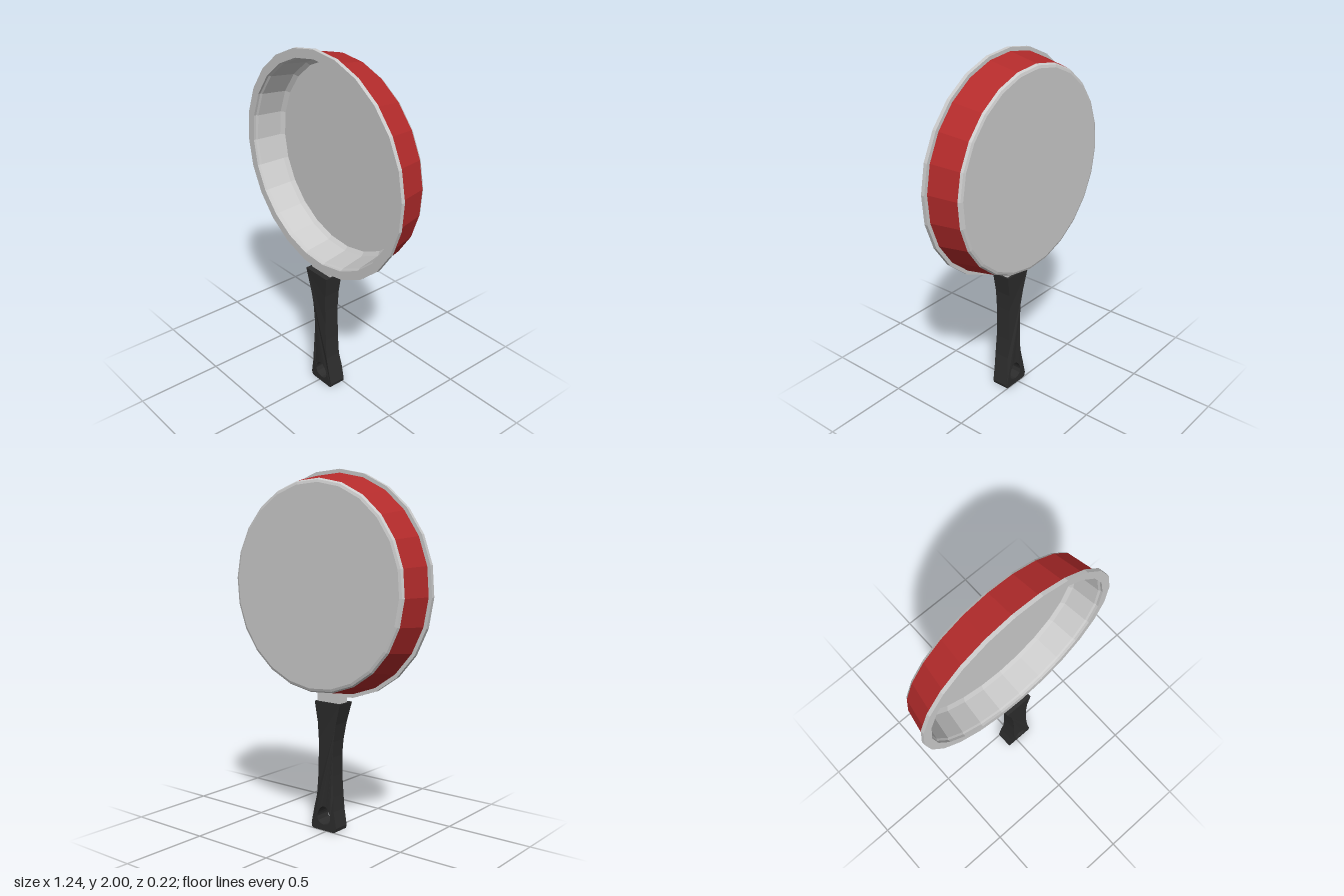
import * as THREE from 'three';

const SIDES = 24;
const PAN_Y = 1.38;

function material(color, side = THREE.FrontSide) {
  return new THREE.MeshStandardMaterial({ color, flatShading: true, side });
}

// Faceted ring turned about the z axis; profile points are [radius, z].
function turned(name, profile, mat) {
  const geo = new THREE.LatheGeometry(profile.map(([r, z]) => new THREE.Vector2(r, z)), SIDES);
  geo.rotateX(Math.PI / 2).rotateZ(THREE.MathUtils.degToRad(3));
  const mesh = new THREE.Mesh(geo, mat);
  mesh.name = name;
  mesh.position.y = PAN_Y;
  return mesh;
}

// Piecewise-linear lookup in [y, value] pairs.
function lookup(table, y) {
  for (let i = 1; i < table.length; i++) {
    const [y0, a] = table[i - 1], [y1, b] = table[i];
    if (y <= y1) return a + (b - a) * Math.max(0, (y - y0) / (y1 - y0));
  }
  return table[table.length - 1][1];
}

function createHandle(mat) {
  // Rows of [y, left edge x, right edge x]
  const rows = [
    [0, -0.052, 0.092], [0.008, -0.065, 0.104], [0.028, -0.069, 0.108],
    [0.12, -0.05, 0.09], [0.2, -0.04, 0.077], [0.32, -0.033, 0.067],
    [0.43, -0.034, 0.064], [0.52, -0.041, 0.063], [0.62, -0.06, 0.066], [0.74, -0.093, 0.083],
  ];
  const outline = [
    ...rows.map(([y, , r]) => new THREE.Vector2(r, y)),
    ...rows.map(([y, l]) => new THREE.Vector2(l, y)).reverse(),
  ];
  const shape = new THREE.Shape(outline);

  // Teardrop hanging hole
  const hole = new THREE.Path();
  hole.moveTo(0.021, 0.14);
  hole.bezierCurveTo(-0.005, 0.14, -0.026, 0.095, -0.026, 0.075);
  hole.bezierCurveTo(-0.026, 0.02, 0.068, 0.02, 0.068, 0.075);
  hole.bezierCurveTo(0.068, 0.095, 0.047, 0.14, 0.021, 0.14);
  shape.holes.push(hole);

  // Front and back surfaces follow a gentle curve along the length
  const geo = new THREE.ExtrudeGeometry(shape, { depth: 1, bevelEnabled: false, curveSegments: 6 });
  const front = [[0, 0.096], [0.2, 0.105], [0.43, 0.1], [0.6, 0.104], [0.74, 0.11]];
  const back = [[0, 0], [0.12, 0.002], [0.2, 0.012], [0.52, 0.011], [0.74, 0]];
  const pos = geo.attributes.position;
  for (let i = 0; i < pos.count; i++) {
    pos.setZ(i, lookup(pos.getZ(i) > 0.5 ? front : back, pos.getY(i)));
  }
  geo.computeVertexNormals();
  const mesh = new THREE.Mesh(geo, mat);
  mesh.name = 'handle';
  return mesh;
}

export function createModel() {
  const group = new THREE.Group();
  group.name = 'fryingPan';
  const metal = material(0xcccccc);
  const red = material(0xb32b2b);
  const black = material(0x2d2d2d);

  // Pan: base with rounded edge, painted wall, rim and hollow inside
  group.add(turned('base', [[0, -0.112], [0.548, -0.112], [0.562, -0.107], [0.57, -0.095]], metal));
  group.add(turned('outerWall', [[0.57, -0.095], [0.602, 0.073]], red));
  group.add(turned('rim', [[0.6, 0.073], [0.622, 0.073], [0.622, 0.094], [0.573, 0.094], [0.573, 0.08]], metal));
  group.add(turned('inside', [[0.573, 0.08], [0.566, 0.07], [0.545, -0.07], [0.525, -0.09], [0, -0.09]], metal));

  // Bracket joining pan and handle
  const bracket = new THREE.Mesh(new THREE.BoxGeometry(0.155, 0.08, 0.065), metal);
  bracket.name = 'bracket';
  bracket.position.set(-0.004, 0.755, 0.045);
  group.add(bracket);

  group.add(createHandle(black));
  return group;
}
